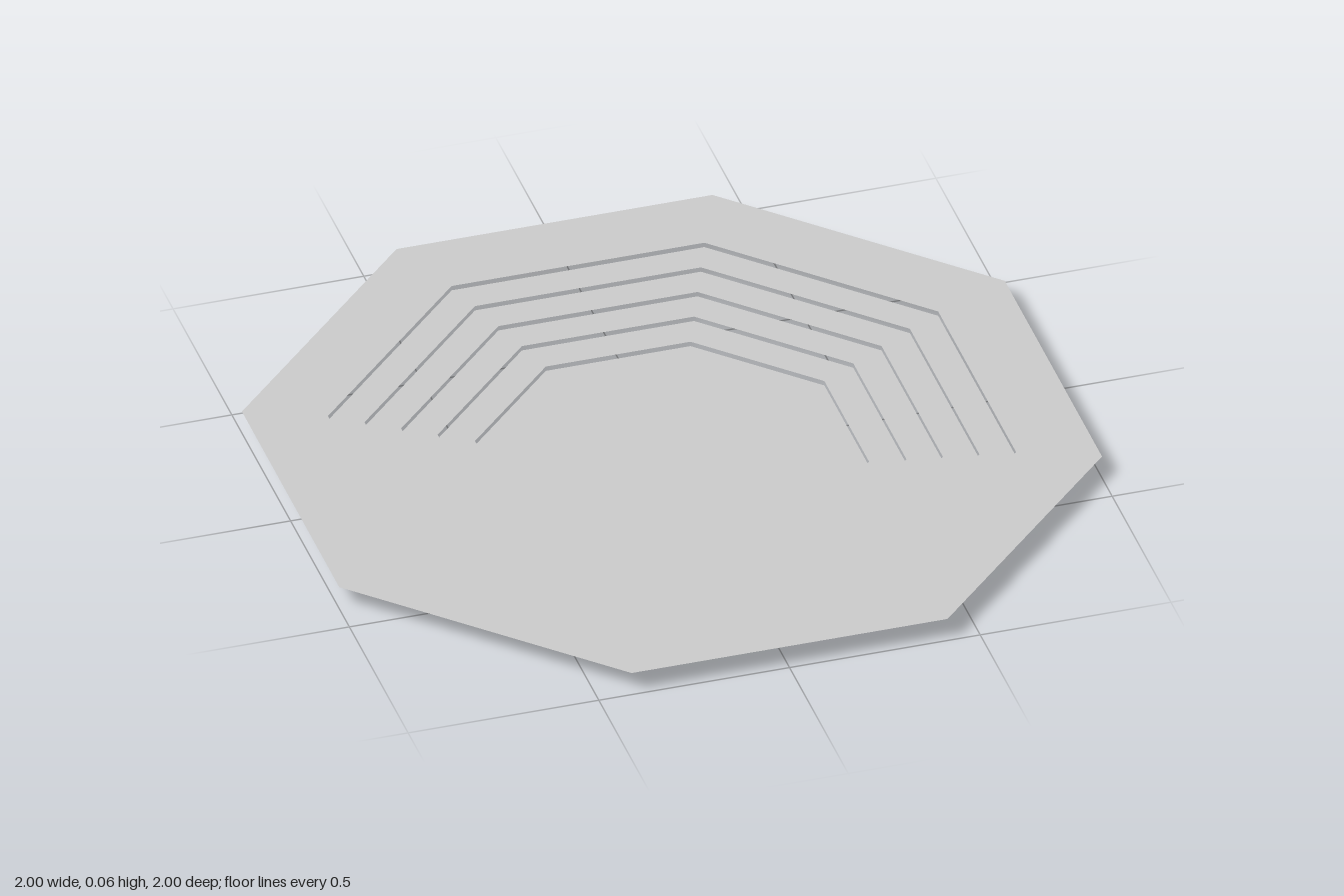
import * as THREE from 'three';

// Flat octagonal terraces stepping down towards the centre, with open gaps between the levels.
const EDGES = [1, 0.8, 0.715, 0.63, 0.545, 0.458]; // centre to flat side
const STEP = 0.013;
const SIDES = 8;
const TURN = Math.PI / SIDES; // puts a flat side towards the front

export function createModel() {
  const group = new THREE.Group();
  group.name = 'steppedOctagon';
  const material = new THREE.MeshStandardMaterial({
    color: 0xcccccc, side: THREE.DoubleSide, flatShading: true,
  });
  const toCorner = (edge) => edge / Math.cos(TURN);

  EDGES.forEach((edge, i) => {
    const last = i === EDGES.length - 1;
    const geometry = last
      ? new THREE.CircleGeometry(toCorner(edge), SIDES, TURN)
      : new THREE.RingGeometry(toCorner(EDGES[i + 1]), toCorner(edge), SIDES, 1, TURN);
    geometry.rotateX(-Math.PI / 2);

    const mesh = new THREE.Mesh(geometry, material);
    mesh.name = last ? 'centreFloor' : i === 0 ? 'outerRim' : `terrace${i}`;
    mesh.position.y = (EDGES.length - 1 - i) * STEP;
    group.add(mesh);
  });
  return group;
}
